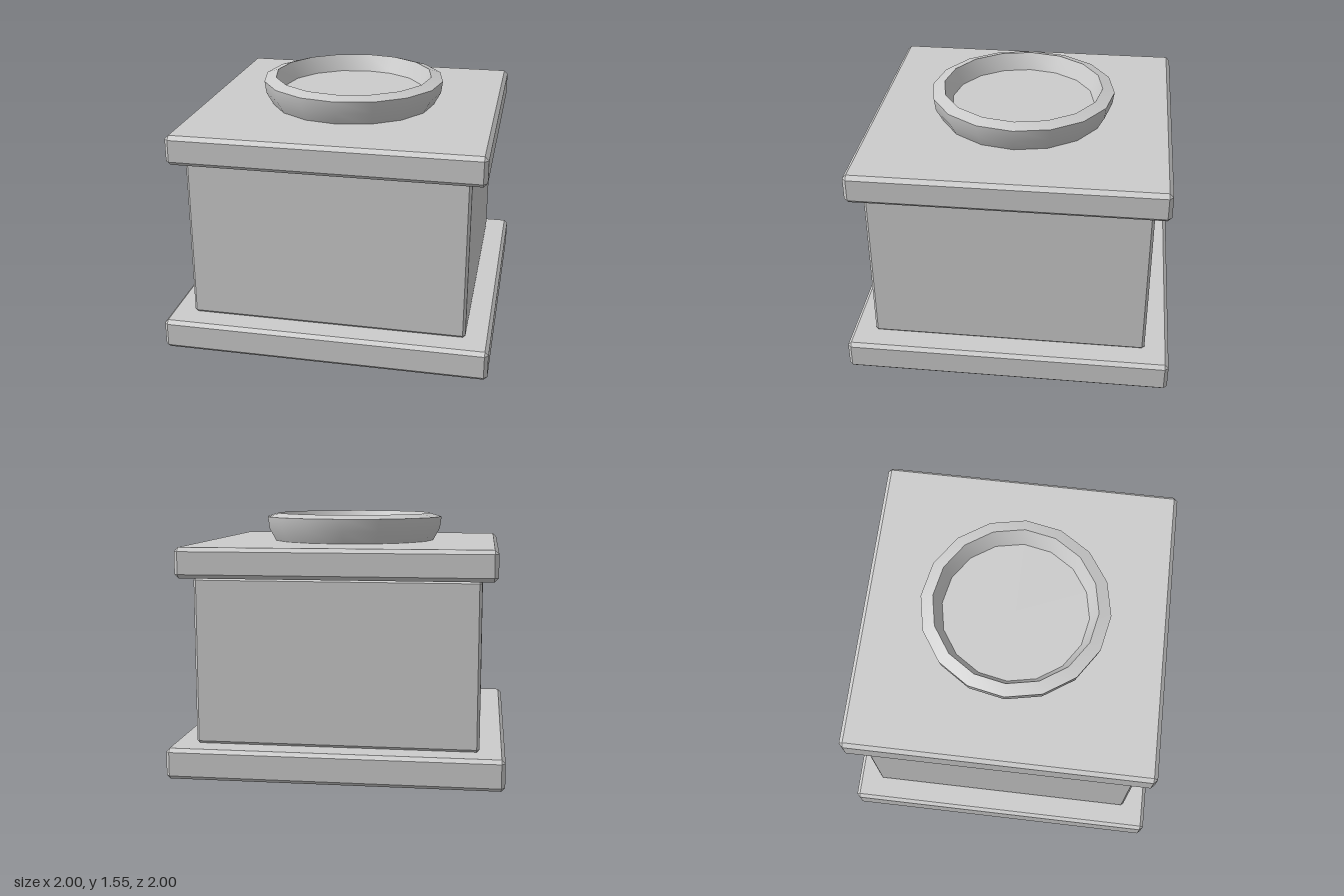
import * as THREE from 'three';
import { toCreasedNormals } from 'three/addons/utils/BufferGeometryUtils.js';
import { ConvexGeometry } from 'three/addons/geometries/ConvexGeometry.js';

const material = new THREE.MeshStandardMaterial({ color: 0xcccccc });

// Square block with every edge chamfered: three corner points per corner
function chamferedBlock(name, half, bottom, top, c) {
  const points = [];
  const h = (top - bottom) / 2;
  for (const sx of [-1, 1]) for (const sy of [-1, 1]) for (const sz of [-1, 1]) {
    points.push(
      new THREE.Vector3(sx * half, sy * (h - c), sz * (half - c)),
      new THREE.Vector3(sx * (half - c), sy * h, sz * (half - c)),
      new THREE.Vector3(sx * (half - c), sy * (h - c), sz * half)
    );
  }
  const mesh = new THREE.Mesh(new ConvexGeometry(points), material);
  mesh.name = name;
  mesh.position.y = (bottom + top) / 2;
  return mesh;
}

// Shallow sixteen-sided bowl: outer wall, sloped rim, inner wall, floor
function bowl() {
  const profile = [
    [0.515, 1.365], [0.565, 1.455], [0.575, 1.53],
    [0.5, 1.553], [0.45, 1.45], [0, 1.45]
  ].map(([r, y]) => new THREE.Vector2(r, y));
  const geometry = toCreasedNormals(new THREE.LatheGeometry(profile, 16), 0.55);
  const mesh = new THREE.Mesh(geometry, material);
  mesh.name = 'bowl';
  return mesh;
}

export function createModel() {
  const group = new THREE.Group();
  group.name = 'pedestal';
  group.add(
    chamferedBlock('basePlinth', 1, 0, 0.187, 0.022),
    chamferedBlock('body', 0.85, 0.187, 1.195, 0.016),
    chamferedBlock('topSlab', 0.94, 1.195, 1.377, 0.024),
    bowl()
  );
  return group;
}
